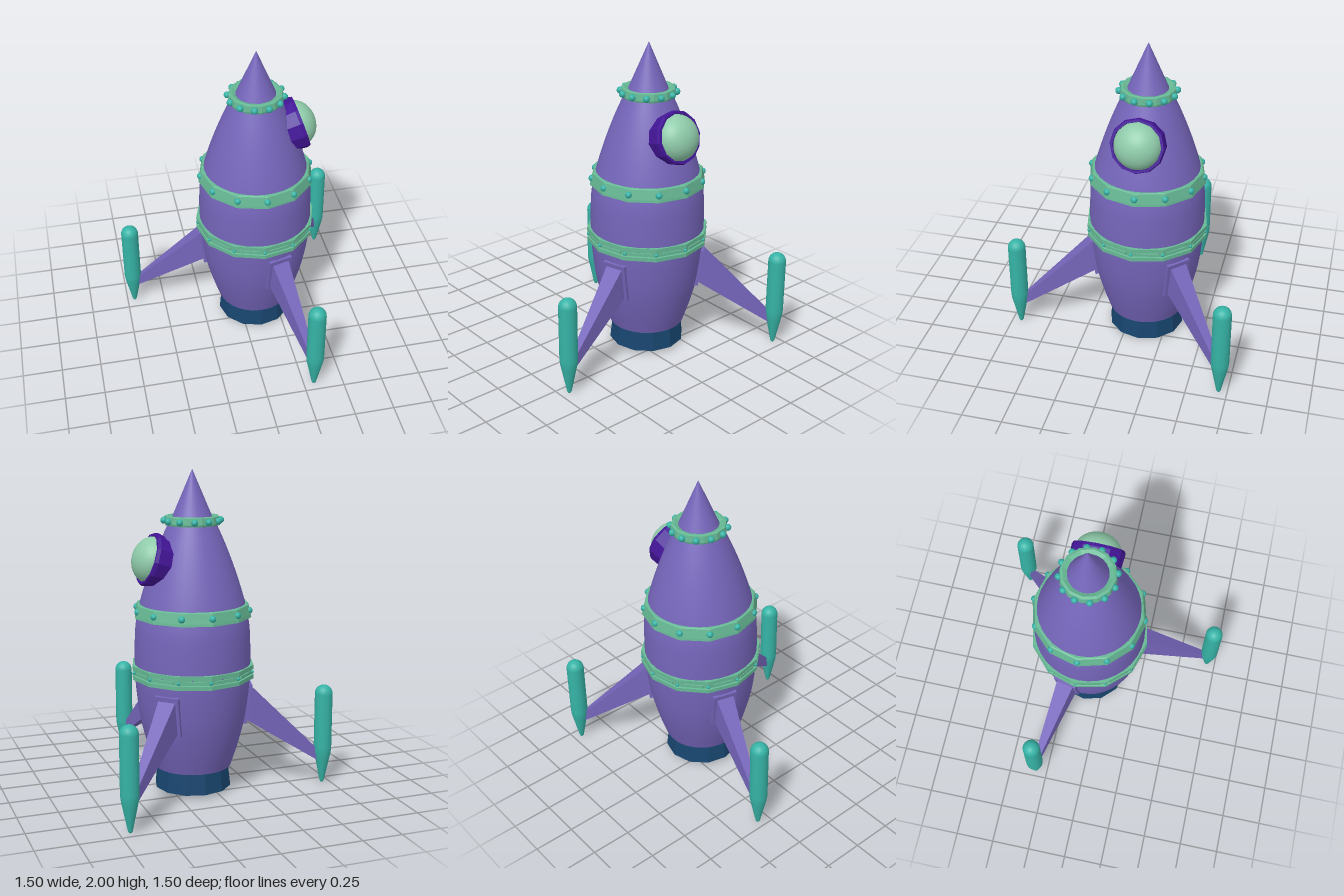
import * as THREE from 'three';

const mat = (color, flatShading = false) =>
  new THREE.MeshStandardMaterial({ color, flatShading, side: THREE.DoubleSide });
const purple = mat(0x7565ba), purpleFlat = mat(0x7565ba, true);
const green = mat(0x66b894, true), teal = mat(0x36b3a6);
const navy = mat(0x17456e, true), violet = mat(0x431597, true), glass = mat(0x8fcbaa);

const v2 = (pts) => pts.map(([x, y]) => new THREE.Vector2(x, y));
const deg = THREE.MathUtils.degToRad;

function add(parent, name, geometry, material, x = 0, y = 0, z = 0) {
  const m = new THREE.Mesh(geometry, material);
  m.name = name;
  m.position.set(x, y, z);
  parent.add(m);
  return m;
}
const lathe = (pts, segments) => new THREE.LatheGeometry(v2(pts), segments);

// Twelve-sided band with a row of round rivets
function band(parent, name, profile, rivetRadius, ringRadius, y, offset) {
  const g = new THREE.Group();
  g.name = name;
  add(g, name + 'Ring', lathe(profile, 12), green);
  const ball = new THREE.SphereGeometry(rivetRadius, 12, 8);
  for (let i = 0; i < 12; i++) {
    const a = deg(i * 30 + offset);
    add(g, 'rivet', ball, teal, ringRadius * Math.sin(a), y, ringRadius * Math.cos(a));
  }
  parent.add(g);
  return g;
}

// Tapering strut: box whose three stations run from hull to foot
function strutGeometry() {
  const stations = [[0.28, 0.475, 0.655, 0.06], [0.36, 0.43, 0.65, 0.056], [0.81, 0.145, 0.21, 0.016]];
  const geo = new THREE.BoxGeometry(2, 1, 1, 2, 1, 1);
  const p = geo.attributes.position;
  for (let i = 0; i < p.count; i++) {
    const [r, low, high, half] = stations[Math.round(p.getX(i)) + 1];
    p.setXYZ(i, r, p.getY(i) > 0 ? high : low, Math.sign(p.getZ(i)) * half);
  }
  geo.computeVertexNormals();
  return geo;
}

export function createModel() {
  const model = new THREE.Group();
  model.name = 'rocket';
  const ship = new THREE.Group();
  ship.name = 'ship';
  ship.position.set(0.1, 0, -0.11);
  model.add(ship);

  // Hull, its floor and the nose cone
  const curve = new THREE.SplineCurve(v2([
    [0.24, 0.16], [0.285, 0.3], [0.325, 0.46], [0.348, 0.62], [0.358, 0.78],
    [0.354, 1.0], [0.34, 1.11], [0.315, 1.22], [0.265, 1.38], [0.205, 1.54], [0.143, 1.68],
  ]));
  add(ship, 'hull', new THREE.LatheGeometry(curve.getPoints(40), 36), purple);
  add(ship, 'hullFloor', new THREE.CircleGeometry(0.24, 36), purple, 0, 0.16).rotation.x = Math.PI / 2;
  add(ship, 'noseCone', new THREE.ConeGeometry(0.143, 0.335, 36), purple, 0, 1.8325);

  // Hollow engine nozzle
  add(ship, 'nozzle', lathe([[0, 0.14], [0.2, 0.14], [0.222, 0.025], [0.24, 0.025], [0.224, 0.17]], 12), navy);

  // Riveted bands
  band(ship, 'noseBand',
    [[0.13, 1.668], [0.168, 1.668], [0.172, 1.68], [0.166, 1.72], [0.15, 1.725], [0.115, 1.71]],
    0.021, 0.172, 1.695, 15);
  band(ship, 'upperBand',
    [[0.33, 1.11], [0.364, 1.11], [0.362, 1.125], [0.348, 1.185], [0.34, 1.19], [0.3, 1.19]],
    0.021, 0.35, 1.152, 0);
  const middle = band(ship, 'middleBand',
    [[0.34, 0.73], [0.382, 0.73], [0.382, 0.755], [0.37, 0.757], [0.37, 0.788], [0.382, 0.79],
      [0.382, 0.815], [0.34, 0.815]],
    0.011, 0.374, 0.772, 0);
  middle.rotation.y = deg(-2.5);
  // Raised slats in the groove between rivets
  for (let i = 0; i < 12; i++) {
    const a = deg(i * 30 + 15);
    add(middle, 'slat', new THREE.BoxGeometry(0.13, 0.018, 0.012), green,
      0.36 * Math.sin(a), 0.772, 0.36 * Math.cos(a)).rotation.y = a;
  }

  // Porthole tilted upwards; the rear of its frame is shaped to the hull
  const porthole = new THREE.Group();
  porthole.name = 'porthole';
  porthole.position.set(0.288, 1.474, 0);
  porthole.rotation.z = deg(-72);
  const frame = lathe([[0.14, -0.065], [0.156, -0.065], [0.166, -0.02], [0.16, 0], [0.145, 0], [0.138, -0.04]], 12);
  const p = frame.attributes.position;
  for (let i = 0; i < p.count; i++) {
    if (p.getY(i) < -0.06) p.setY(i, -0.065 - 0.055 * Math.abs(p.getZ(i)) / 0.16);
  }
  add(porthole, 'portholeFrame', frame, violet);
  const dome = add(porthole, 'portholeGlass',
    new THREE.SphereGeometry(0.143, 32, 12, 0, Math.PI * 2, 0, Math.PI / 2), glass, 0, -0.03);
  dome.scale.y = 0.82;
  add(porthole, 'portholeBack', new THREE.CircleGeometry(0.145, 12), violet, 0, -0.06).rotation.x = Math.PI / 2;
  ship.add(porthole);

  // Three legs: mounting plate, strut and pointed foot
  const strut = strutGeometry();
  const foot = [[0, 0.003], [0.008, 0.005], [0.014, 0.015], [0.045, 0.165], [0.053, 0.205], [0.056, 0.24], [0.056, 0.4]];
  for (let i = 0; i <= 8; i++) {
    const a = (i / 8) * Math.PI / 2;
    foot.push([0.056 * Math.cos(a), 0.59 + 0.056 * Math.sin(a)]);
  }
  const footGeo = lathe(foot, 20);
  for (const angle of [75, 195, 315]) {
    const leg = new THREE.Group();
    leg.name = 'leg';
    leg.rotation.y = -deg(angle);
    const plate = add(leg, 'mountingPlate', new THREE.BoxGeometry(0.04, 0.25, 0.155), purpleFlat, 0.329, 0.555, 0);
    plate.rotation.z = deg(-8);
    add(leg, 'strut', strut, purpleFlat);
    add(leg, 'foot', footGeo, teal, 0.83, 0, 0);
    ship.add(leg);
  }
  return model;
}
